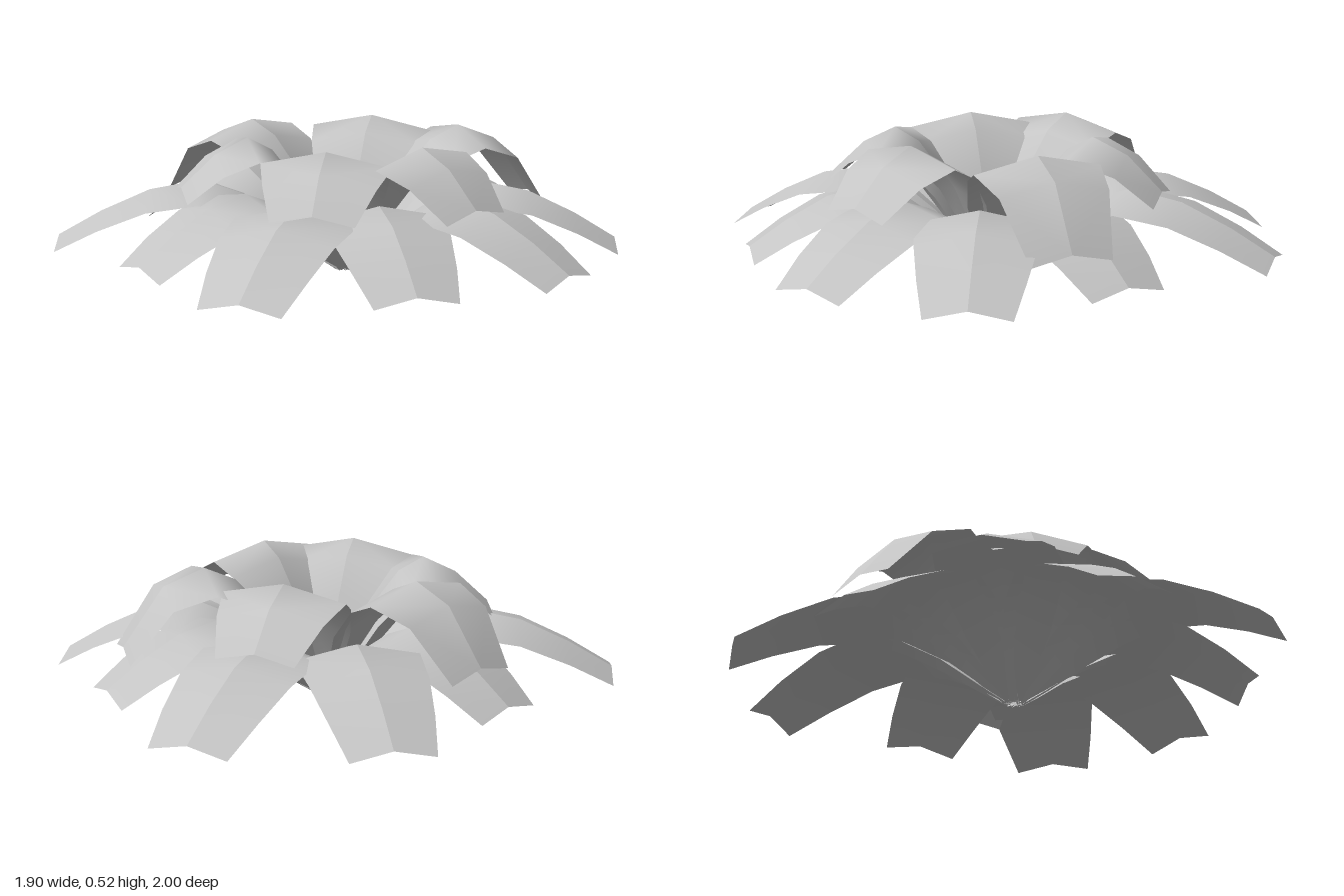
import * as THREE from 'three';

// Ridge stations: [fraction of reach, height, half width]
const OUTER = [[0.02, 0.015, 0.03], [0.1, 0.09, 0.08], [0.22, 0.205, 0.15], [0.36, 0.3, 0.2],
  [0.5, 0.35, 0.225], [0.68, 0.315, 0.208], [0.85, 0.235, 0.18], [1, 0.145, 0.147]];
const INNER = [[0.01, 0.015, 0.03], [0.13, 0.15, 0.09], [0.28, 0.34, 0.17], [0.45, 0.475, 0.215],
  [0.6, 0.525, 0.235], [0.8, 0.465, 0.2], [1, 0.34, 0.148]];
const FOLD = 0.21; // drop of the leaf edge per unit of half width

// One arching leaf along +x, folded along its raised ridge
function leafGeometry(profile, reach, tipY) {
  const pos = [], index = [];
  for (const side of [1, -1]) {
    const start = pos.length / 3;
    profile.forEach(([t, h, w], i) => {
      const y = i === profile.length - 1 ? tipY : h;
      pos.push(t * reach, y, 0, t * reach, Math.max(0, y - w * FOLD), side * w);
      if (i === 0) return;
      const a = start + (i - 1) * 2, b = a + 1, c = a + 2, d = a + 3;
      if (side > 0) index.push(a, b, c, b, d, c);
      else index.push(a, c, b, b, c, d);
    });
  }
  const geo = new THREE.BufferGeometry();
  geo.setAttribute('position', new THREE.Float32BufferAttribute(pos, 3));
  geo.setIndex(index);
  geo.computeVertexNormals();
  return geo;
}

export function createModel() {
  const model = new THREE.Group();
  model.name = 'leafRosette';
  const leafGray = new THREE.MeshStandardMaterial({ color: 0xc4c4c4, side: THREE.DoubleSide });
  leafGray.name = 'leafGray';

  // Tip positions on the ground plan: [x, z, tip height]
  const tiers = [
    ['outerLeaf', OUTER, [
      [0.89, 0.045, 0.145], [0.825, 0.63, 0.145], [0.33, 0.95, 0.145], [-0.26, 0.885, 0.145],
      [-0.785, 0.635, 0.145], [-0.84, 0.05, 0.145], [-0.87, -0.535, 0.145], [-0.275, -0.76, 0.145],
      [0.29, -0.965, 0.145], [0.86, -0.615, 0.145]]],
    ['innerLeaf', INNER, [
      [0.77, 0.19, 0.25], [0.145, 0.67, 0.34], [-0.4, 0.47, 0.35],
      [-0.55, -0.17, 0.35], [-0.21, -0.68, 0.27], [0.51, -0.38, 0.34]]],
  ];

  // Both whorls grow from one slightly off-centre crown
  const cx = 0.025, cz = 0.04;
  for (const [name, profile, tips] of tiers) {
    const whorl = new THREE.Group();
    whorl.name = name + 'Whorl';
    whorl.position.set(cx, 0, cz);
    tips.forEach(([x, z, tipY], i) => {
      const dx = x - cx, dz = z - cz;
      const leaf = new THREE.Mesh(leafGeometry(profile, Math.hypot(dx, dz), tipY), leafGray);
      leaf.rotation.y = -Math.atan2(dz, dx);
      leaf.name = name + (i + 1);
      whorl.add(leaf);
    });
    model.add(whorl);
  }
  return model;
}
